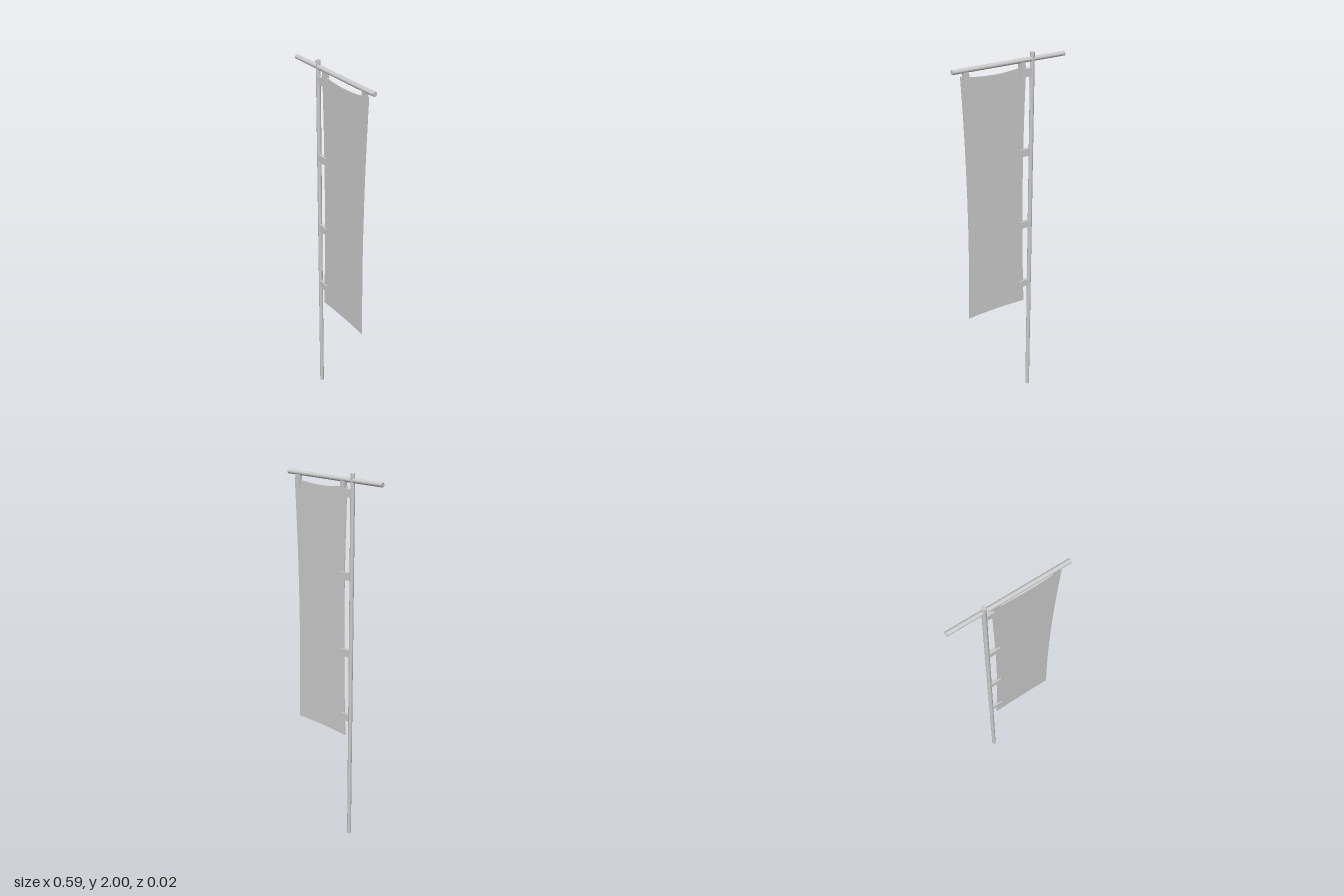
import * as THREE from 'three';

export function createModel() {
  const model = new THREE.Group();
  const grey = new THREE.MeshStandardMaterial({ color: 0xcccccc });

  function add(name, geometry, x, y, z = 0) {
    const mesh = new THREE.Mesh(geometry, grey);
    mesh.name = name;
    mesh.position.set(x, y, z);
    model.add(mesh);
    return mesh;
  }

  // Upright pole and horizontal crossbar
  const poleX = -0.119, barY = 1.968, r = 0.011;
  add('pole', new THREE.CylinderGeometry(r, r, 2, 20), poleX, 1);
  add('crossbar', new THREE.CylinderGeometry(r, r, 0.591, 20), 0, barY).rotation.z = Math.PI / 2;

  // Cloth with gently drawn-in edges
  const left = -0.085, right = 0.255, bottom = 0.62, top = 1.942;
  const midX = (left + right) / 2, midY = (bottom + top) / 2;
  const outline = new THREE.Shape();
  outline.moveTo(left, bottom);
  outline.quadraticCurveTo(midX, bottom + 0.012, right, bottom);
  outline.quadraticCurveTo(right - 0.03, midY, right, top);
  outline.quadraticCurveTo(midX, top - 0.034, left, top);
  outline.quadraticCurveTo(left + 0.026, midY, left, bottom);
  const thickness = 0.004;
  const cloth = new THREE.ExtrudeGeometry(outline, { depth: thickness, bevelEnabled: false, curveSegments: 16 });
  add('banner', cloth, 0, 0, -thickness / 2);

  // Straps tying the cloth to the pole
  const strapEnd = -0.052, depth = 0.018;
  for (const y of [0.735, 1.103, 1.508, 1.908]) {
    add('poleStrap', new THREE.BoxGeometry(strapEnd - poleX, 0.038, depth), (poleX + strapEnd) / 2, y);
  }

  // Straps hanging the cloth from the crossbar
  const strapBottom = 1.893;
  for (const x of [-0.062, 0.228]) {
    add('barStrap', new THREE.BoxGeometry(0.027, barY - strapBottom, depth), x, (barY + strapBottom) / 2);
  }

  return model;
}
